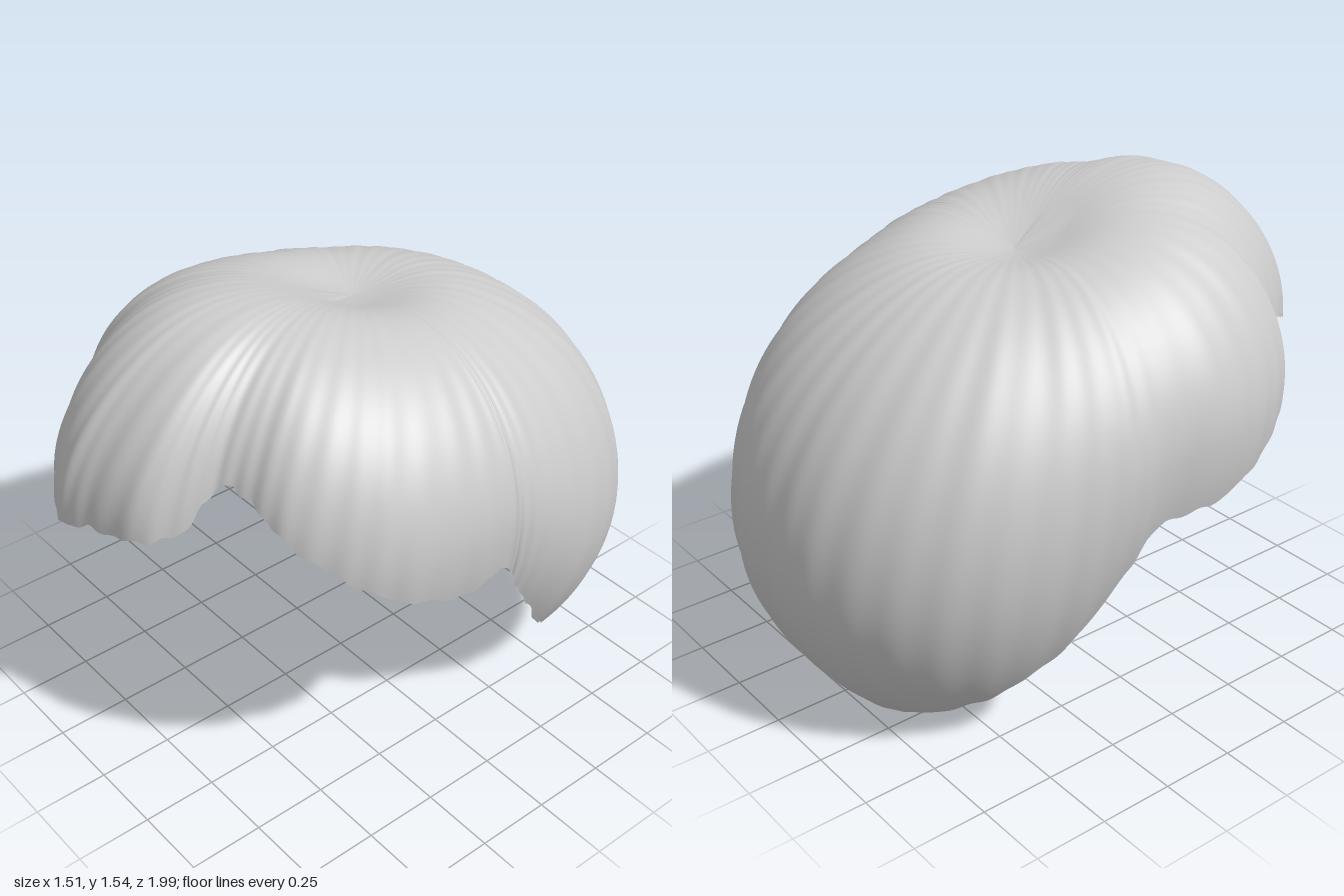
import * as THREE from 'three';

// Outline of the hair seen from above, anticlockwise from the fringe:
// x, z of the widest point, its height, and the height of the lower rim
const OUTLINE = [
  [-0.1, 0.99, 0.98, 0.98], [0.03, 0.97, 1.0, 1.02], [0.2, 0.92, 1.02, 1.04],
  [0.27, 0.81, 1.03, 1.06], [0.31, 0.71, 1.08, 1.17], [0.4, 0.67, 1.05, 1.15],
  [0.52, 0.63, 1.0, 1.07], [0.64, 0.51, 0.95, 0.96], [0.72, 0.35, 0.93, 0.85],
  [0.75, 0.12, 0.93, 0.77], [0.74, -0.05, 0.92, 0.8], [0.74, -0.1, 0.9, 0.69],
  [0.74, -0.2, 0.85, 0.55], [0.71, -0.4, 0.73, 0.31], [0.62, -0.65, 0.65, 0.16],
  [0.45, -0.85, 0.6, 0.08], [0.22, -0.97, 0.58, 0.03], [0, -0.995, 0.58, 0.01],
  [-0.22, -0.97, 0.58, 0.03], [-0.45, -0.85, 0.6, 0.09], [-0.62, -0.65, 0.65, 0.17],
  [-0.71, -0.4, 0.73, 0.32], [-0.74, -0.2, 0.85, 0.53], [-0.735, -0.05, 0.91, 0.7],
  [-0.75, 0.18, 0.93, 0.71], [-0.7, 0.4, 0.93, 0.78], [-0.6, 0.57, 0.95, 0.9],
  [-0.47, 0.65, 1.0, 1.05], [-0.38, 0.77, 1.0, 1.04], [-0.27, 0.9, 0.98, 0.98],
];
const CROWN = new THREE.Vector3(-0.03, 1.445, -0.07);
const LOWER = 0.8; // how far the dome would curl under below its widest point

function closedCurve(points) {
  return new THREE.CatmullRomCurve3(points, true, 'catmullrom', 0.5);
}

function hairGeometry(columns = 400, rows = 56) {
  const plan = closedCurve(OUTLINE.map(([x, z]) => new THREE.Vector3(x, 0, z)));
  const heights = closedCurve(OUTLINE.map(([, , wide, rim]) => new THREE.Vector3(wide, rim, 0)));
  const positions = [];
  const index = [];

  for (let i = 0; i < columns; i++) {
    const u = i / columns;
    const turn = u * Math.PI * 2;
    const edge = plan.getPoint(u);
    const { x: wide, y: rimBase } = heights.getPoint(u);
    const dx = edge.x - CROWN.x;
    const dz = edge.z - CROWN.z;
    const reach = Math.hypot(dx, dz);

    // Ragged rim
    const rim = rimBase + 0.005 * Math.sin(turn * 37) + 0.004 * Math.sin(turn * 61 + 1);
    const drop = wide - rim;
    const end = drop < 0
      ? Math.acos(Math.min(1, -drop / (CROWN.y - wide)))
      : Math.PI / 2 + Math.asin(Math.min(1, drop / LOWER));

    // Fuller, squarer profile towards the fringe
    const power = 0.75 - 0.23 * dz / reach;

    for (let j = 0; j <= rows; j++) {
      const t = end * j / rows;
      const c = Math.cos(t);
      const s = Math.sin(t);
      const up = Math.max(0, c);
      // Strands spiral out of the crown
      const ripple = s * (0.0025 * Math.sin(turn * 52 + t * 5) + 0.0015 * Math.sin(turn * 29 + t * 4 + 2));
      const r = (c > 0 ? Math.pow(s, power) : s) + ripple;
      const x = CROWN.x + dx * r;
      const z = CROWN.z + dz * r;
      // Swept-up volume above the fringe, a slight sideways lean,
      // and the hollow where the strands meet
      const lift = 0.13 * up * Math.exp(-((x + 0.1) ** 2) / 0.4 - ((z - 0.55) ** 2) / 0.22);
      const lean = 0.05 * up * x;
      const hollow = 0.08 * up * Math.exp(-((reach * r) ** 2) / 0.045);
      const y = c > 0 ? wide + (CROWN.y - wide) * c : wide + LOWER * c;
      positions.push(x, y + lift + lean - hollow + ripple * 0.6 * up, z);
    }
  }

  const at = (i, j) => (i % columns) * (rows + 1) + j;
  for (let i = 0; i < columns; i++) {
    for (let j = 0; j < rows; j++) {
      const a = at(i, j), b = at(i, j + 1), c = at(i + 1, j + 1), d = at(i + 1, j);
      index.push(a, b, c);
      if (j > 0) index.push(a, c, d);
    }
  }

  const geometry = new THREE.BufferGeometry();
  geometry.setAttribute('position', new THREE.Float32BufferAttribute(positions, 3));
  geometry.setIndex(index);
  geometry.computeVertexNormals();
  return geometry;
}

export function createModel() {
  const model = new THREE.Group();
  model.name = 'hairpiece';

  const grey = new THREE.MeshStandardMaterial({ color: 0xcccccc, side: THREE.DoubleSide });
  grey.name = 'light grey';

  const hair = new THREE.Mesh(hairGeometry(), grey);
  hair.name = 'hair';
  model.add(hair);
  return model;
}
